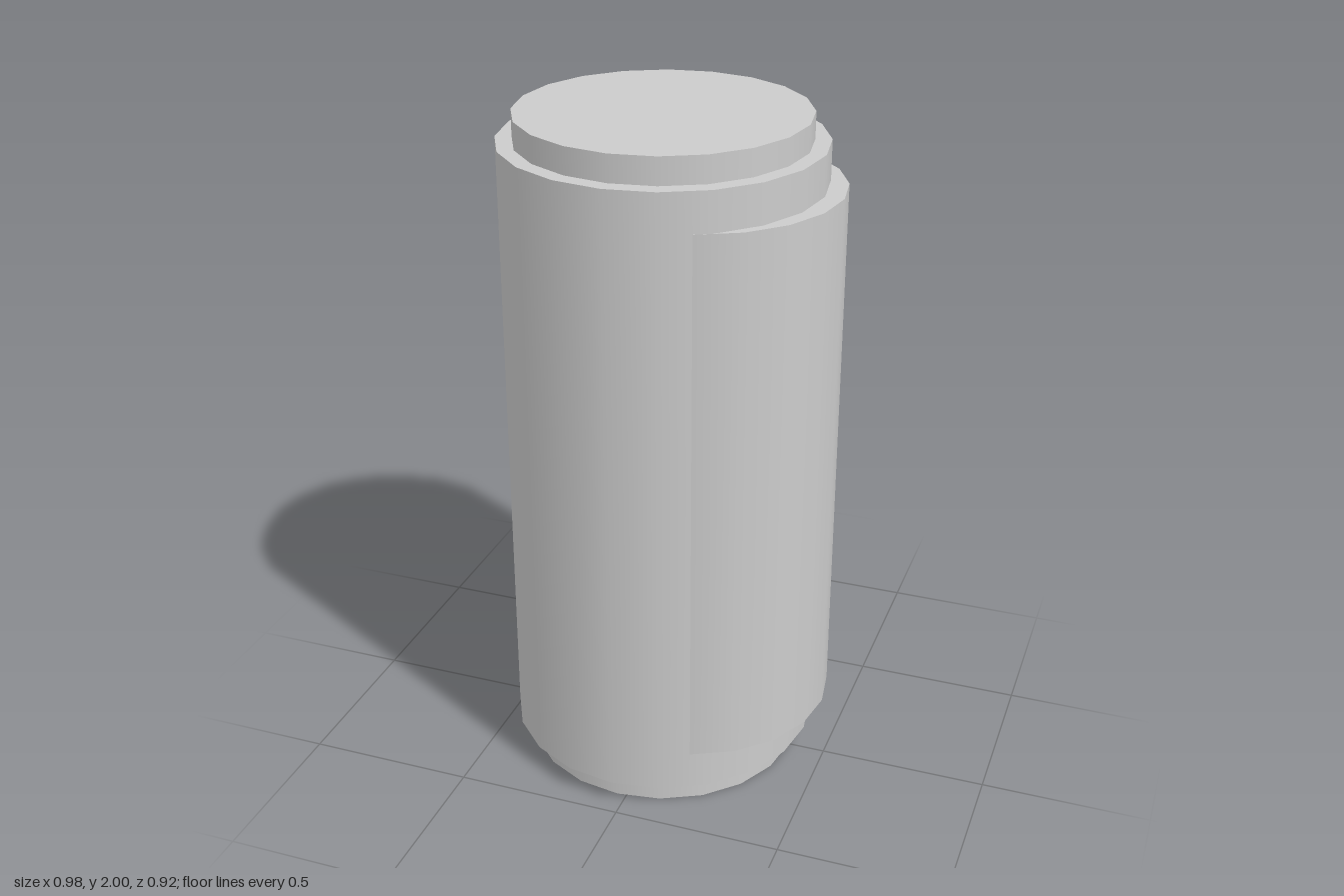
import * as THREE from 'three';

const SIDES = 20;

export function createModel() {
  const model = new THREE.Group();
  model.name = 'canister';
  const material = new THREE.MeshStandardMaterial({ color: 0xcccccc });

  // Upright cylinder spanning two heights, shifted along x
  function addCylinder(name, radius, bottom, top, x) {
    const geometry = new THREE.CylinderGeometry(radius, radius, top - bottom, SIDES);
    const mesh = new THREE.Mesh(geometry, material);
    mesh.name = name;
    mesh.position.set(x, (bottom + top) / 2, 0);
    model.add(mesh);
  }

  // Narrow core whose ends show as the stepped caps
  addCylinder('core', 0.415, 0, 2, -0.028);
  // Main outer body
  addCylinder('body', 0.462, 0.075, 1.922, -0.028);
  // Offset cylinder that bulges out of the body on its left side
  addCylinder('sidePanel', 0.418, 0.19, 1.806, 0.07);

  return model;
}
